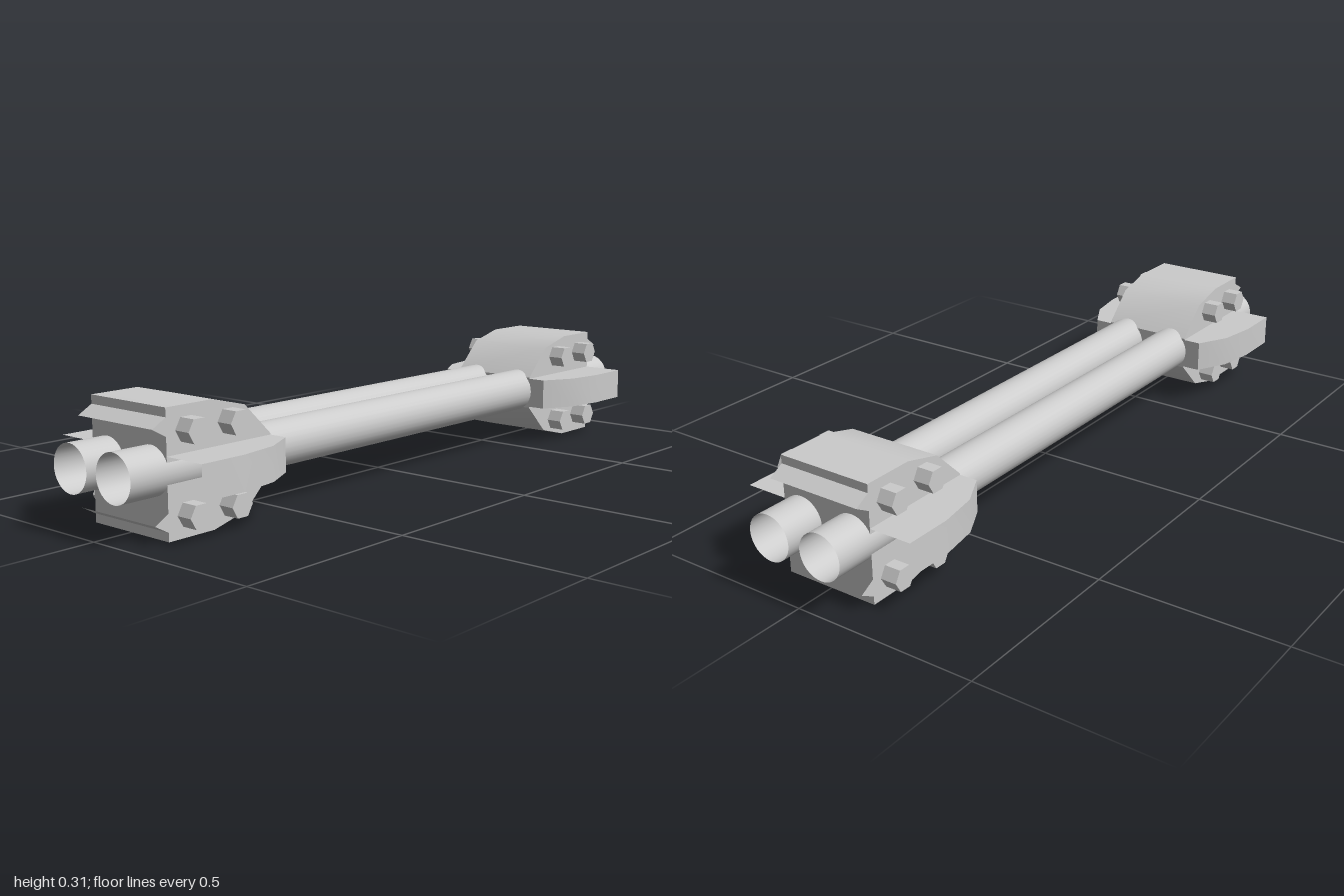
import * as THREE from 'three';
import { toCreasedNormals } from 'three/addons/utils/BufferGeometryUtils.js';

const MID = 0.1565; // height of the centre line
const grey = new THREE.MeshStandardMaterial({ color: 0xcccccc });
const greyBoth = new THREE.MeshStandardMaterial({ color: 0xcccccc, side: THREE.DoubleSide });

// Extrude an outline, centred along its depth, with sharp edges kept
function extrude(points, depth) {
  const shape = new THREE.Shape(points.map(([x, y]) => new THREE.Vector2(x, y)));
  const geo = new THREE.ExtrudeGeometry(shape, { depth, bevelEnabled: false });
  geo.translate(0, 0, -depth / 2);
  return toCreasedNormals(geo, 0.65);
}

// Leave out the triangles whose face normal passes the test
function openFaces(geo, test) {
  const pos = geo.attributes.position;
  const tri = new THREE.Triangle();
  const normal = new THREE.Vector3();
  const index = [];
  for (let i = 0; i < pos.count; i += 3) {
    tri.setFromAttributeAndIndices(pos, i, i + 1, i + 2);
    tri.getNormal(normal);
    if (!test(normal)) index.push(i, i + 1, i + 2);
  }
  geo.setIndex(index);
  return geo;
}

function add(parent, name, geo, material = grey) {
  const mesh = new THREE.Mesh(geo, material);
  mesh.name = name;
  parent.add(mesh);
  return mesh;
}

// One end clamp, made at the +x end and centred on y = 0
function createClamp(name) {
  const clamp = new THREE.Group();
  clamp.name = name;

  // Main block with curved shoulders
  const half = [[0.56, 0.047], [0.645, 0.13], [0.75, MID], [0.89, MID]];
  const lower = half.map(([x, y]) => [x, -y]);
  add(clamp, 'clampBlock', extrude([...lower, ...half.slice().reverse()], 0.266));

  for (const side of [1, -1]) {
    // Pointed lip along the outer end
    const lipGeo = extrude([[0.89, 0.089], [0.93, 0.1115], [0.89, 0.134]], 0.266);
    const lip = add(clamp, 'endLip', openFaces(lipGeo, n => n.y < -0.5 || n.x < -0.9));
    lip.rotation.x = side > 0 ? 0 : Math.PI;

    // Curved side fin, open at the outer end
    const finGeo = extrude([
      [0.56, 0.13], [0.89, 0.13], [0.89, 0.25], [0.76, 0.25], [0.65, 0.232], [0.56, 0.184],
    ], 0.087);
    finGeo.rotateX(Math.PI / 2);
    const fin = add(clamp, 'sideFin', openFaces(finGeo, n => n.x > 0.99));
    fin.rotation.x = side > 0 ? 0 : Math.PI;

    // Four hexagonal bolt heads on each side
    for (const x of [0.7, 0.83]) {
      for (const y of [-0.1, 0.1]) {
        const boltGeo = new THREE.CylinderGeometry(0.033, 0.033, 0.05, 6);
        boltGeo.rotateY(Math.PI / 2).rotateX(Math.PI / 2);
        const bolt = add(clamp, 'boltHead', toCreasedNormals(boltGeo, 0.5));
        bolt.position.set(x, y, side * 0.153);
      }
    }
  }
  clamp.position.y = MID;
  return clamp;
}

export function createModel() {
  const model = new THREE.Group();
  model.name = 'clampedPipePair';

  // Two open pipes running the full length
  for (const side of [1, -1]) {
    const pipeGeo = new THREE.CylinderGeometry(0.061, 0.061, 2, 32, 1, true);
    pipeGeo.rotateZ(Math.PI / 2);
    const pipe = add(model, side > 0 ? 'frontPipe' : 'backPipe', pipeGeo, greyBoth);
    pipe.position.set(0, 0.16, side * 0.078);
  }

  // Matching clamps at both ends
  const left = createClamp('leftClamp');
  const right = createClamp('rightClamp');
  right.rotation.y = Math.PI;
  model.add(left, right);
  return model;
}
